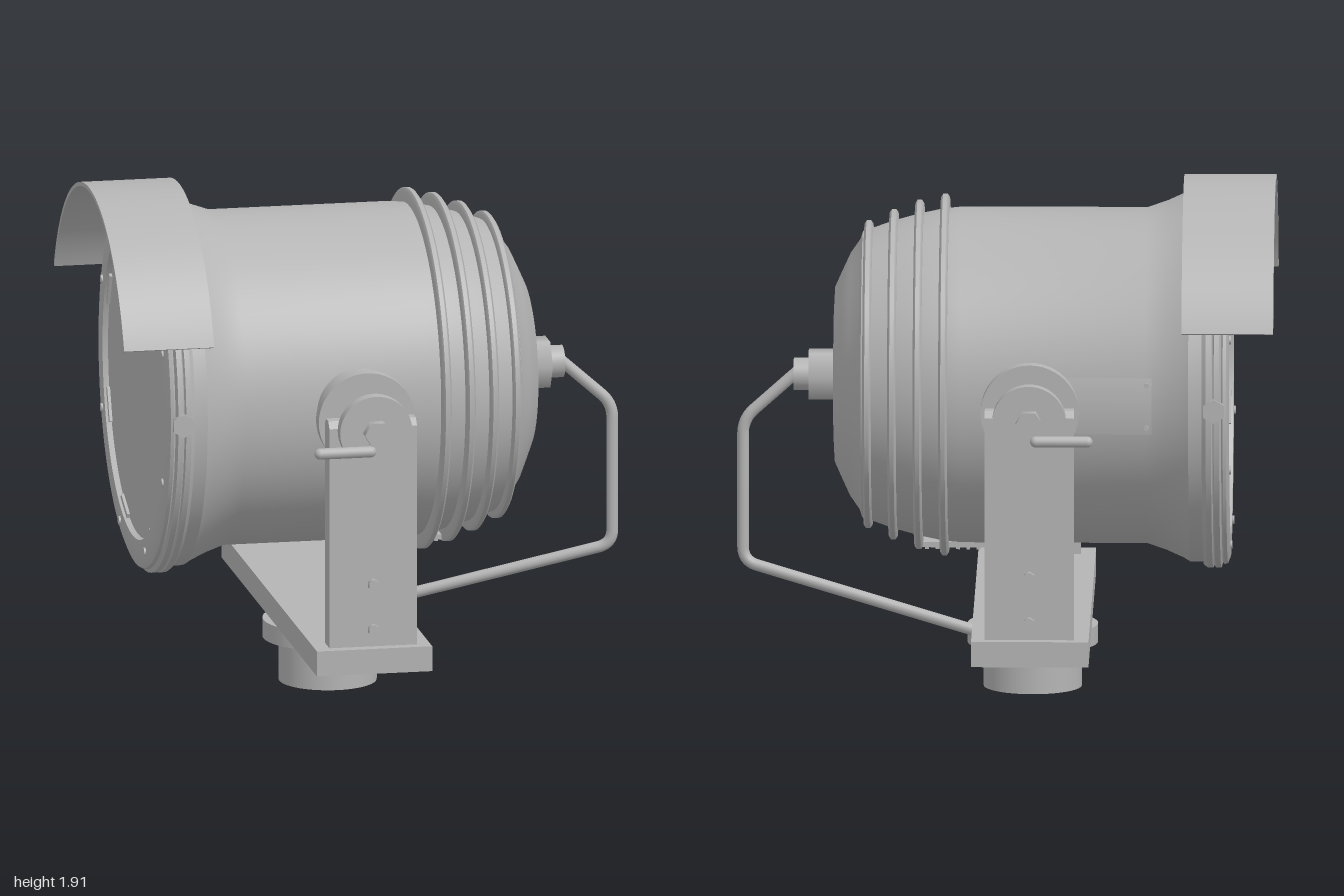
import * as THREE from 'three';
import { toCreasedNormals } from 'three/addons/utils/BufferGeometryUtils.js';

const AXIS_Y = 1.17; // height of the lamp axis
const PIVOT_X = -0.1; // yoke position along the lamp

export function createModel() {
  const model = new THREE.Group();
  model.name = 'floodlight';
  const metal = new THREE.MeshStandardMaterial({ color: 0xb4b4b4, side: THREE.DoubleSide });
  metal.name = 'grey metal';

  const add = (parent, name, geometry, x = 0, y = 0, z = 0) => {
    const mesh = new THREE.Mesh(geometry, metal);
    mesh.name = name;
    mesh.position.set(x, y, z);
    parent.add(mesh);
    return mesh;
  };
  // Lathe around the x axis; profile points are [x, radius]
  const turned = (profile, crease = 0.5) => {
    const g = new THREE.LatheGeometry(profile.map(([x, r]) => new THREE.Vector2(r, x)), 72);
    return toCreasedNormals(g.rotateZ(-Math.PI / 2), crease);
  };
  // Cylinders along each axis, given by start and end
  const cylX = (r, a, b, sides = 32) =>
    new THREE.CylinderGeometry(r, r, b - a, sides).rotateZ(-Math.PI / 2).translate((a + b) / 2, 0, 0);
  const cylY = (r, a, b, sides = 48) =>
    new THREE.CylinderGeometry(r, r, b - a, sides).translate(0, (a + b) / 2, 0);
  const cylZ = (r, a, b, sides = 48) =>
    new THREE.CylinderGeometry(r, r, b - a, sides).rotateX(Math.PI / 2).translate(0, 0, (a + b) / 2);

  // Lamp head, with its axis along x
  const lamp = new THREE.Group();
  lamp.name = 'lampHead';
  lamp.position.y = AXIS_Y;
  model.add(lamp);

  add(lamp, 'housing', turned([
    [-0.74, 0.6], [-0.74, 0.69], [-0.685, 0.69], [-0.66, 0.675], [-0.6, 0.648], [-0.525, 0.622],
    [0.16, 0.622], [0.23, 0.615], [0.32, 0.596], [0.415, 0.57], [0.5, 0.54], [0.53, 0.53],
  ]));
  add(lamp, 'rearDome', turned([
    [0.53, 0.53], [0.54, 0.5], [0.575, 0.45], [0.605, 0.385], [0.632, 0.325], [0.636, 0.25], [0.638, 0],
  ], 0.3));
  add(lamp, 'frontRim', turned([
    [-0.79, 0.58], [-0.835, 0.59], [-0.835, 0.67], [-0.825, 0.695], [-0.813, 0.7], [-0.807, 0.693],
    [-0.8, 0.713], [-0.78, 0.713], [-0.775, 0.703], [-0.77, 0.713], [-0.75, 0.713], [-0.735, 0.7], [-0.735, 0.6],
  ]));
  add(lamp, 'lens', cylX(0.585, -0.815, -0.79, 72));

  // Cooling fins with rounded edges
  [[0.225, 0.67], [0.32, 0.647], [0.415, 0.612], [0.508, 0.57]].forEach(([x, r]) =>
    add(lamp, 'coolingFin', turned([
      [x - 0.016, r - 0.09], [x - 0.016, r - 0.012], [x - 0.008, r], [x + 0.008, r],
      [x + 0.016, r - 0.012], [x + 0.016, r - 0.09],
    ], 0.9)));

  // Rim screws and lens clips
  for (let i = 0; i < 8; i++) {
    const a = ((i + 0.5) / 8) * Math.PI * 2;
    add(lamp, 'rimScrew', cylX(0.016, -0.842, -0.83, 12), 0, 0.64 * Math.sin(a), 0.64 * Math.cos(a));
    const clip = add(lamp, 'lensClip', new THREE.BoxGeometry(0.012, 0.02, 0.13),
      -0.82, 0.575 * Math.sin(a), 0.575 * Math.cos(a));
    clip.rotation.x = Math.PI / 2 - a;
  }

  // Curved visor over the lens
  const visorShape = new THREE.Shape();
  const visorEnd = 0.395;
  visorShape.absarc(0, 0, 0.745, visorEnd, Math.PI - visorEnd, false);
  visorShape.absarc(0, 0, 0.73, Math.PI - visorEnd, visorEnd, true);
  const visorGeometry = new THREE.ExtrudeGeometry(visorShape, { depth: 0.34, bevelEnabled: false, curveSegments: 48 });
  add(lamp, 'visor', toCreasedNormals(visorGeometry.rotateY(Math.PI / 2), 0.5), -1, 0, 0);

  // Cable gland at the back
  add(lamp, 'glandNut', cylX(0.1, 0.63, 0.73, 6).rotateX(0), 0, 0, 0).rotation.x = 0;
  add(lamp, 'glandNeck', cylX(0.06, 0.73, 0.785));

  // Slotted vent under the housing
  add(lamp, 'ventPlate', new THREE.BoxGeometry(0.27, 0.02, 0.26), 0.2, -0.617, 0);
  for (let i = 0; i < 6; i++)
    add(lamp, 'ventRib', new THREE.BoxGeometry(0.014, 0.016, 0.2), 0.1 + i * 0.038, -0.632, 0);

  // Name plate, curved to the housing on the back side
  const plate = new THREE.CylinderGeometry(0.63, 0.63, 0.34, 12, 1, true, Math.PI / 2 - 0.17, 0.34);
  plate.rotateZ(-Math.PI / 2);
  // Turn the strip to the back (-z)
  plate.computeBoundingBox();
  const mid = plate.boundingBox.getCenter(new THREE.Vector3());
  plate.rotateX(Math.atan2(mid.y, mid.z) + Math.PI);
  add(lamp, 'sidePlate', plate, -0.385, 0, 0);
  for (const x of [-0.53, -0.24]) for (const y of [-0.08, 0.08])
    add(lamp, 'plateRivet', cylZ(0.01, -0.635, -0.61, 10), x, y, 0);

  // Yoke sides and pivots, mirrored front to back
  const postShape = new THREE.Shape();
  [[0.8, 0.33], [0.89, 0.33], [0.89, 1.175], [0.868, 1.2], [0.822, 1.2], [0.8, 1.175]]
    .forEach(([z, y], i) => (i ? postShape.lineTo(-z, y) : postShape.moveTo(-z, y)));
  const postGeometry = new THREE.ExtrudeGeometry(postShape, { depth: 0.33, bevelEnabled: false })
    .rotateY(Math.PI / 2).translate(-0.265, 0, 0);
  for (const s of [1, -1]) {
    const side = new THREE.Group();
    side.name = s > 0 ? 'frontPivotSide' : 'backPivotSide';
    model.add(side);
    const span = (r, a, b, n) => cylZ(r, Math.min(a * s, b * s), Math.max(a * s, b * s), n);
    add(side, 'pivotDrum', span(0.16, 0.52, 0.72), PIVOT_X, AXIS_Y);
    add(side, 'pivotFlange', span(0.182, 0.715, 0.77), PIVOT_X, AXIS_Y);
    add(side, 'pivotShaft', span(0.05, 0.76, 0.92, 24), PIVOT_X, AXIS_Y);
    add(side, 'pivotWasher', span(0.136, 0.9, 0.95), PIVOT_X, AXIS_Y);
    add(side, 'pivotBolt', span(0.05, 0.94, 0.993, 6).rotateZ(Math.PI / 6), PIVOT_X, AXIS_Y);
    const post = s > 0 ? postGeometry.clone().rotateY(Math.PI).translate(2 * PIVOT_X, 0, 0) : postGeometry;
    post.computeBoundingBox();
    add(side, 'yokePost', post, 0, 0, Math.sign(post.boundingBox.max.z) === s ? 0 : s * 1.69);
    for (const y of [0.405, 0.577])
      add(side, 'postBolt', span(0.022, 0.88, 0.915, 6), PIVOT_X, y);
    add(side, 'lockHandle', new THREE.CapsuleGeometry(0.021, 0.19, 6, 16).rotateZ(Math.PI / 2), -0.22, 1.102, s * 0.967);
    add(side, 'rimNut', span(0.045, 0.7, 0.722, 6), -0.78, AXIS_Y);
  }

  // Yoke crossbar and mounting base
  add(model, 'yokeBar', new THREE.BoxGeometry(0.435, 0.095, 1.86), -0.1025, 0.2925, 0);
  add(model, 'baseSocket', cylY(0.182, 0, 0.25), PIVOT_X);
  add(model, 'baseFlange', cylY(0.242, 0.165, 0.235), PIVOT_X);

  // Cable with rounded bends from gland to base
  const corners = [[0.76, 1.19, 0], [0.973, 1.0, 0], [0.973, 0.465, 0], [0.06, 0.225, -0.185]]
    .map((p) => new THREE.Vector3(...p));
  const path = new THREE.CurvePath();
  let last = corners[0];
  for (let i = 1; i < 3; i++) {
    const c = corners[i];
    const toward = (p) => c.clone().add(p.clone().sub(c).setLength(0.055));
    const a = toward(corners[i - 1]);
    const b = toward(corners[i + 1]);
    path.add(new THREE.LineCurve3(last, a));
    path.add(new THREE.QuadraticBezierCurve3(a, c, b));
    last = b;
  }
  path.add(new THREE.LineCurve3(last, corners[3]));
  add(model, 'cable', new THREE.TubeGeometry(path, 160, 0.022, 14, false));

  return model;
}
